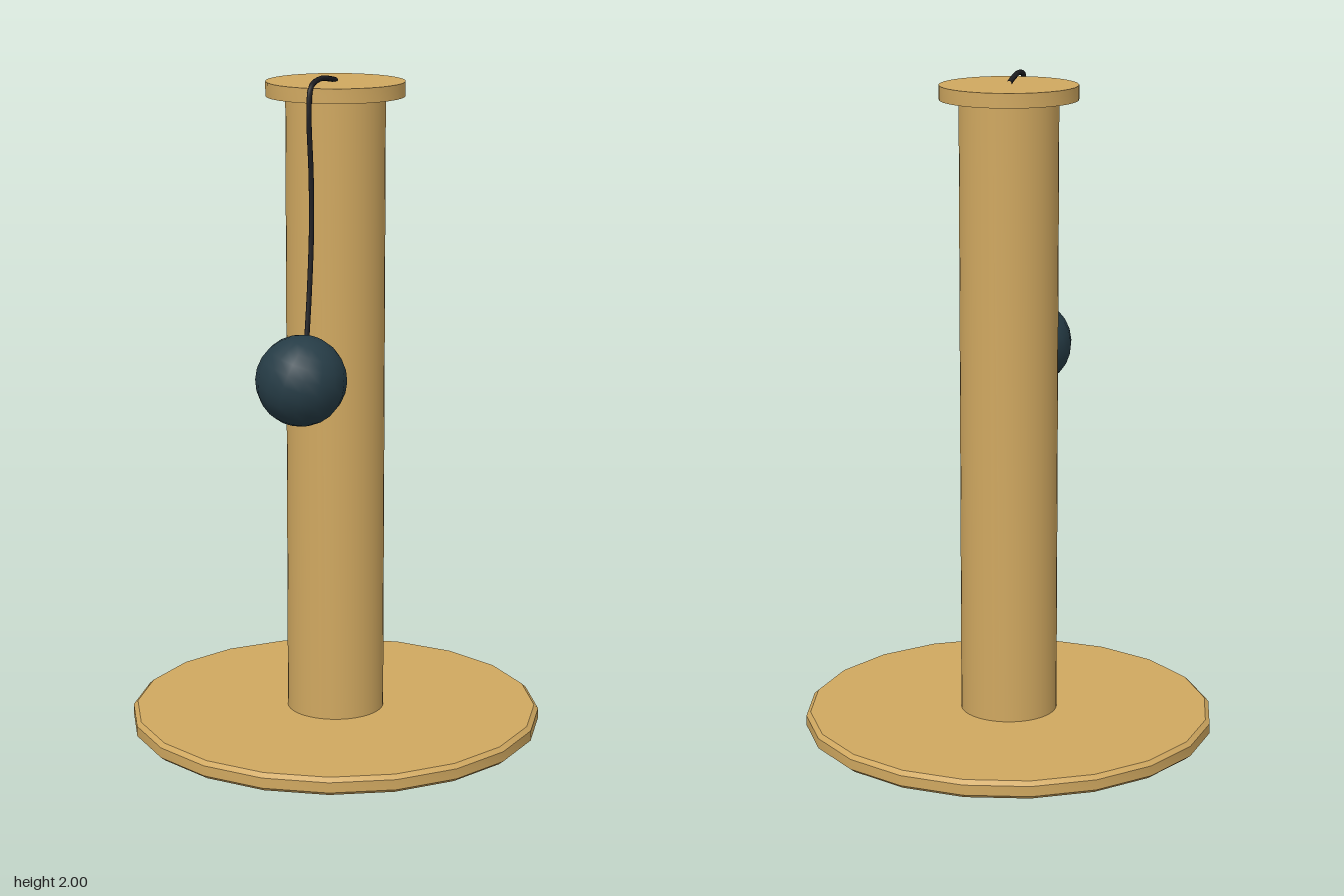
import * as THREE from 'three';
import { toCreasedNormals } from 'three/addons/utils/BufferGeometryUtils.js';

export function createModel() {
  const group = new THREE.Group();
  const tan = new THREE.MeshStandardMaterial({ color: 0xd0a860 });
  tan.name = 'tan wood';
  const slate = new THREE.MeshStandardMaterial({ color: 0x263c46 });
  slate.name = 'dark slate';
  const black = new THREE.MeshStandardMaterial({ color: 0x1e1e22 });
  black.name = 'cord black';

  const add = (name, geometry, material) => {
    const mesh = new THREE.Mesh(geometry, material);
    mesh.name = name;
    group.add(mesh);
    return mesh;
  };
  // Turned part from [radius, height] pairs, with sharp rims
  const turned = (profile, sides, start = 0) => toCreasedNormals(
    new THREE.LatheGeometry(profile.map(p => new THREE.Vector2(...p)), sides, start), 0.5);

  // Twenty-sided base plate with chamfered rims
  add('base', turned([[0, 0], [0.61, 0], [0.625, 0.012], [0.625, 0.043], [0.612, 0.055], [0, 0.055]], 20, 0.13), tan);

  // Post and its top cap
  add('post', turned([[0.147, 0.05], [0.147, 1.935]], 48), tan);
  add('topCap', turned([[0, 1.93], [0.205, 1.93], [0.205, 1.973], [0, 1.973]], 32), tan);

  // Cord arching over the cap and hanging down to the ball
  const cord = new THREE.CatmullRomCurve3([
    [0, 1.976], [-0.05, 1.987], [-0.1, 1.992], [-0.15, 1.975], [-0.161, 1.91],
    [-0.149, 1.72], [-0.148, 1.56], [-0.16, 1.4], [-0.18, 1.23],
  ].map(([x, y]) => new THREE.Vector3(x, y, -x * 0.94)));
  add('cord', new THREE.TubeGeometry(cord, 48, 0.008, 8), black);

  // Hanging ball, slightly tilted
  const ball = add('ball', new THREE.SphereGeometry(0.133, 16, 12), slate);
  ball.position.set(-0.212, 1.14, 0.2);
  ball.rotation.set(0.25, 0.3, -0.25);

  return group;
}
